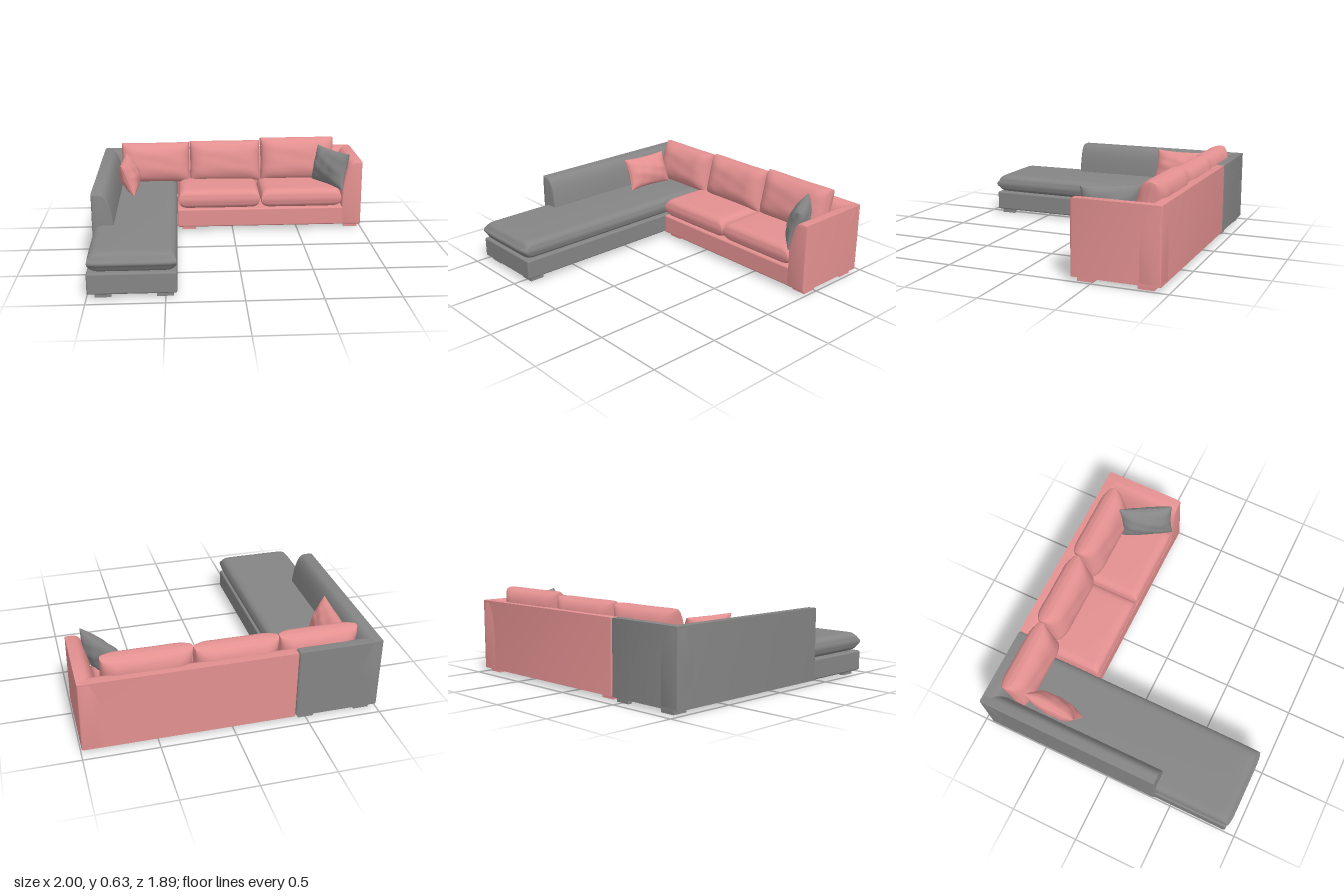
import * as THREE from 'three';
import { mergeVertices, toCreasedNormals } from 'three/addons/utils/BufferGeometryUtils.js';
import { RoundedBoxGeometry } from 'three/addons/geometries/RoundedBoxGeometry.js';

const pink = new THREE.MeshStandardMaterial({ color: 0xe39090 });
const grey = new THREE.MeshStandardMaterial({ color: 0x858585 });

function add(parent, name, geometry, material) {
  const mesh = new THREE.Mesh(geometry, material);
  mesh.name = name;
  parent.add(mesh);
  return mesh;
}

// Box given by its two corners, with softly rounded edges
function block(parent, name, material, [x0, y0, z0], [x1, y1, z1], radius = 0.012) {
  const geo = new RoundedBoxGeometry(x1 - x0, y1 - y0, z1 - z0, 3, radius);
  add(parent, name, geo, material).position.set((x0 + x1) / 2, (y0 + y1) / 2, (z0 + z1) / 2);
}

// Stuffed cushion lying in XY, thickness along Z.
// edge: half thickness of the border, r: roll-off distance, bow: how far the
// sides pull in between the corners, corner: how much the corners round off
function cushionGeometry(w, h, t, { edge = 0.3, r = 0.06, bow = 0, corner = 0, crown = 0, wrinkle = 0 }) {
  const geo = new THREE.BoxGeometry(2, 2, 2, 32, 32, 6);
  geo.deleteAttribute('uv');
  geo.deleteAttribute('normal');
  const p = geo.attributes.position;
  const spread = (a) => Math.sin((a * Math.PI) / 2);
  const roll = (a, half) => {
    const d = Math.min(1, ((1 - Math.abs(a)) * half) / r);
    return Math.sqrt(Math.max(0, 1 - (1 - d) ** 2));
  };
  for (let i = 0; i < p.count; i++) {
    const u = spread(p.getX(i)), v = spread(p.getY(i)), s = p.getZ(i);
    const f = roll(u, w / 2) * roll(v, h / 2);
    const dome = 1 - crown + crown * (1 - u * u) * (1 - v * v);
    const fold = 1 + wrinkle * Math.sin(7 * u + 4 * v) * Math.sin(5 * v - 3 * u);
    const thick = (t / 2) * (edge + (1 - edge) * f * dome * fold);
    // the border bulges a little halfway through the thickness
    const bulge = 1 - 0.02 * s * s;
    p.setXYZ(i,
      (w / 2) * u * (1 - bow * (1 - v * v) - corner * v ** 8) * bulge,
      (h / 2) * v * (1 - bow * (1 - u * u) - corner * u ** 8) * bulge,
      thick * s);
  }
  const merged = mergeVertices(geo, 1e-5);
  merged.computeVertexNormals();
  return merged;
}

// Arm or back section: straight outside at x = 0, inside face curving in to the top
function armGeometry(length, side) {
  const b = 0.012;
  const shape = new THREE.Shape();
  shape.moveTo(0, 0.03);
  shape.lineTo(side * 0.148, 0.03);
  shape.lineTo(side * 0.148, 0.3);
  shape.bezierCurveTo(side * 0.135, 0.4, side * 0.115, 0.525, side * 0.055, 0.525);
  shape.lineTo(0, 0.525);
  shape.closePath();
  const geo = new THREE.ExtrudeGeometry(shape, {
    depth: length - 2 * b, curveSegments: 14,
    bevelThickness: b, bevelSize: b, bevelOffset: -b, bevelSegments: 3,
  });
  geo.translate(0, 0, b);
  return toCreasedNormals(geo, 0.7);
}

function arm(parent, name, material, x, side, z0, z1) {
  add(parent, name, armGeometry(z1 - z0, side), material).position.set(x, 0, z0);
}

function back(parent, name, material, x0, x1) {
  const geo = armGeometry(x1 - x0, 1).rotateY(-Math.PI / 2);
  add(parent, name, geo, material).position.set(x1, 0, -0.945);
}

function seat(parent, name, material, x0, x1, z0, z1, y0, y1) {
  const geo = cushionGeometry(x1 - x0, z1 - z0, y1 - y0,
    { edge: 0.35, r: 0.06, corner: 0.015, crown: 0.1 }).rotateX(-Math.PI / 2);
  add(parent, name, geo, material).position.set((x0 + x1) / 2, (y0 + y1) / 2, (z0 + z1) / 2);
}

// L-shaped feet at the four corners of a rectangle
function feet(parent, material, x0, x1, z0, z1) {
  const size = 0.105, t = 0.032;
  for (const [x, sx] of [[x0, 1], [x1, -1]]) {
    for (const [z, sz] of [[z0, 1], [z1, -1]]) {
      const shape = new THREE.Shape(
        [[0, 0], [size, 0], [size, t], [t, t], [t, size], [0, size]]
          .map(([a, c]) => new THREE.Vector2(a * sx, -c * sz)));
      const geo = new THREE.ExtrudeGeometry(shape, { depth: 0.04, bevelEnabled: false });
      add(parent, 'foot', geo.rotateX(-Math.PI / 2), material).position.set(x, 0, z);
    }
  }
}

export function createModel() {
  const model = new THREE.Group();
  model.name = 'cornerSofa';

  // Long chaise section
  const chaise = new THREE.Group();
  chaise.name = 'chaiseSection';
  block(chaise, 'chaiseBase', grey, [-0.996, 0.03, -0.94], [-0.427, 0.172, 0.922]);
  arm(chaise, 'chaiseArm', grey, -1, 1, -0.945, 0.378);
  back(chaise, 'chaiseBack', grey, -1, -0.426);
  seat(chaise, 'chaiseCushion', grey, -0.993, -0.422, -0.84, 0.942, 0.168, 0.308);
  feet(chaise, grey, -0.95, -0.45, -0.925, 0.89);

  // Two-seat section
  const sofa = new THREE.Group();
  sofa.name = 'sofaSection';
  block(sofa, 'sofaBase', pink, [-0.424, 0.03, -0.94], [0.98, 0.172, -0.362]);
  arm(sofa, 'sofaArm', pink, 0.995, -1, -0.945, -0.36);
  back(sofa, 'sofaBack', pink, -0.424, 0.995);
  seat(sofa, 'leftSeatCushion', pink, 0.217, 0.845, -0.83, -0.352, 0.168, 0.318);
  seat(sofa, 'rightSeatCushion', pink, -0.418, 0.213, -0.83, -0.352, 0.168, 0.322);
  feet(sofa, pink, -0.388, 0.975, -0.9, -0.4);

  // Loose back cushions leaning on the back
  const backCushions = new THREE.Group();
  backCushions.name = 'backCushions';
  for (const [x0, x1, top, z] of [[-0.865, -0.322, 0.603, -0.775], [-0.325, 0.243, 0.61, -0.785], [0.24, 0.84, 0.63, -0.787]]) {
    const h = top - 0.285;
    const geo = cushionGeometry(x1 - x0, h, 0.2,
      { edge: 0.22, r: 0.11, bow: 0.025, corner: 0.02, crown: 0.12, wrinkle: 0.03 });
    const mesh = add(backCushions, 'backCushion', geo, pink);
    mesh.position.set((x0 + x1) / 2, top - h / 2, z);
    mesh.rotation.x = -0.25;
  }

  // Throw pillows with pointed corners
  const pillows = new THREE.Group();
  pillows.name = 'throwPillows';
  for (const [name, material, w, h, pos, yaw, lean] of [
    ['rightThrowPillow', pink, 0.385, 0.25, [-0.785, 0.42, -0.495], Math.PI / 2 - 0.05, -0.38],
    ['leftThrowPillow', grey, 0.39, 0.285, [0.775, 0.443, -0.54], -1.06, -0.2],
  ]) {
    const geo = cushionGeometry(w, h, 0.145, { edge: 0.06, r: 0.16, bow: 0.07, wrinkle: 0.08 });
    const mesh = add(pillows, name, geo, material);
    mesh.position.set(...pos);
    mesh.rotation.set(lean, yaw, 0, 'YXZ');
  }

  model.add(chaise, sofa, backCushions, pillows);
  return model;
}
